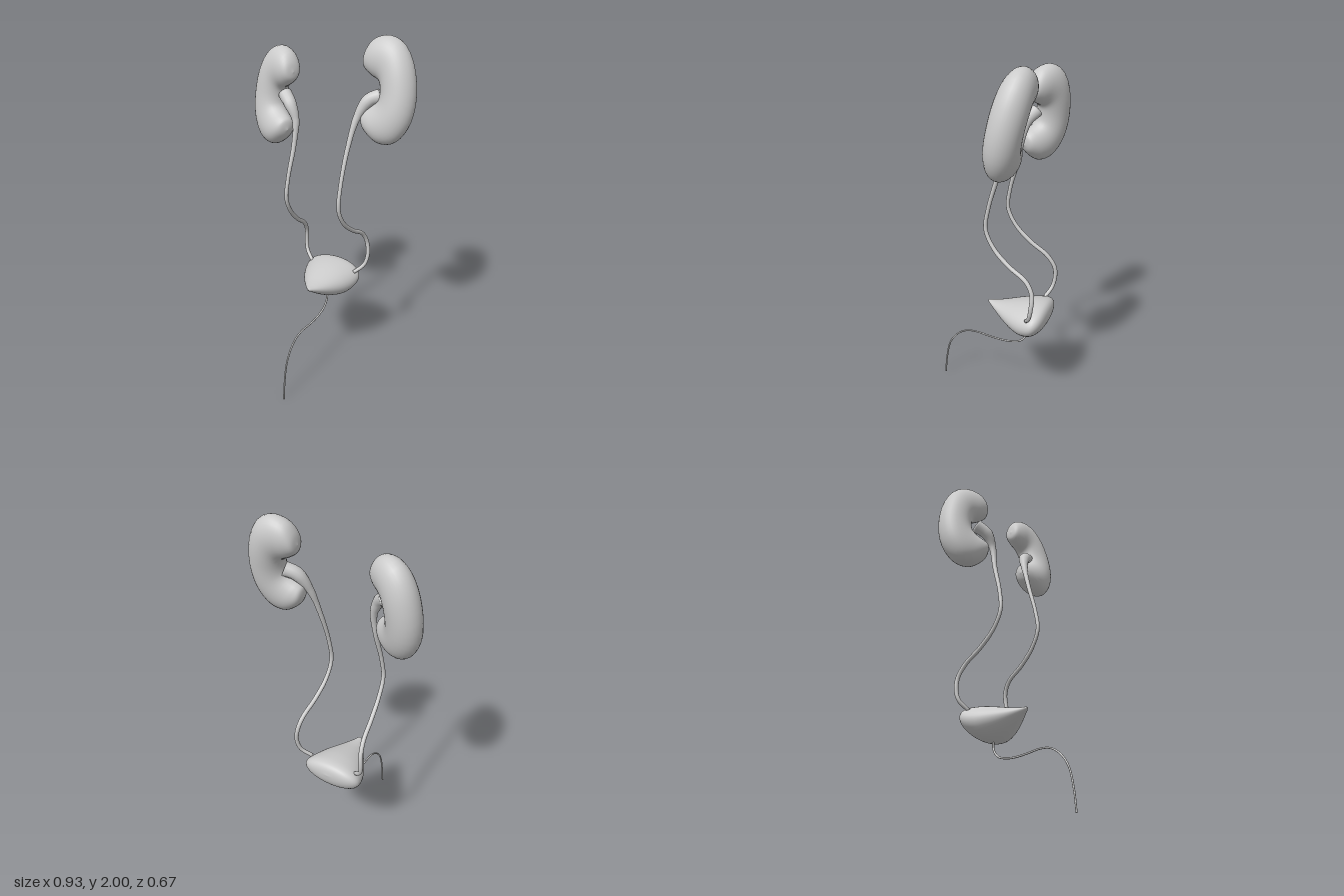
import * as THREE from 'three';
import { mergeVertices } from 'three/addons/utils/BufferGeometryUtils.js';

const V = (x, y, z) => new THREE.Vector3(x, y, z);
const material = new THREE.MeshStandardMaterial({ color: 0xcccccc, roughness: 0.7 });

// Skin a list of elliptical rings, each { c: centre, u: half axis, w: half axis }.
function loft(rings, sides) {
  const pos = [], index = [];
  for (const { c, u, w } of rings) {
    for (let j = 0; j < sides; j++) {
      const a = (j / sides) * Math.PI * 2;
      const p = c.clone().addScaledVector(u, Math.cos(a)).addScaledVector(w, Math.sin(a));
      pos.push(p.x, p.y, p.z);
    }
  }
  for (let i = 0; i < rings.length - 1; i++) {
    for (let j = 0; j < sides; j++) {
      const k = (j + 1) % sides, a = i * sides, b = a + sides;
      index.push(a + j, a + k, b + k, a + j, b + k, b + j);
    }
  }
  // Signed volume tells whether the faces point outwards
  let volume = 0;
  const at = (i) => V(pos[3 * i], pos[3 * i + 1], pos[3 * i + 2]);
  for (let i = 0; i < index.length; i += 3) {
    volume += at(index[i]).dot(at(index[i + 1]).cross(at(index[i + 2])));
  }
  if (volume < 0) index.reverse();
  let g = new THREE.BufferGeometry();
  g.setAttribute('position', new THREE.Float32BufferAttribute(pos, 3));
  g.setIndex(index);
  g = mergeVertices(g, 1e-5);
  g.computeVertexNormals();
  return g;
}

// Smoothly resample tracks of points; samples crowd towards both ends.
function resample(tracks, count, makeRing) {
  const curves = tracks.map((t) => new THREE.CatmullRomCurve3(t, false, 'catmullrom', 0.5));
  return Array.from({ length: count + 1 }, (_, i) => {
    const t = (1 - Math.cos((i / count) * Math.PI)) / 2;
    return makeRing(...curves.map((c) => c.getPoint(t)));
  });
}

// Tube whose radius follows a list of values spread along the path; ends are closed.
function taperedTube(points, radii, segments, sides) {
  const curve = new THREE.CatmullRomCurve3(points);
  const frames = curve.computeFrenetFrames(segments, false);
  const rings = [];
  const ring = (i, scale) => {
    const f = (i / segments) * (radii.length - 1);
    const k = Math.min(Math.floor(f), radii.length - 2);
    const r = scale * THREE.MathUtils.lerp(radii[k], radii[k + 1], f - k);
    rings.push({
      c: curve.getPointAt(i / segments),
      u: frames.normals[i].clone().multiplyScalar(r),
      w: frames.binormals[i].clone().multiplyScalar(r),
    });
  };
  ring(0, 0);
  for (let i = 0; i <= segments; i++) ring(i, 1);
  ring(segments, 0);
  return loft(rings, sides);
}

// Bean: each row is inner x, inner y, outer x, outer y, half thickness, fanned round the hilum.
const kidneyRows = [
  [-0.152, 0.145, -0.152, 0.145, 0],
  [-0.142, 0.1, -0.138, 0.205, 0.045],
  [-0.1, 0.068, -0.1, 0.255, 0.067],
  [-0.065, 0.052, -0.025, 0.275, 0.077],
  [-0.05, 0.037, 0.055, 0.24, 0.083],
  [-0.043, 0.017, 0.117, 0.14, 0.087],
  [-0.04, -0.012, 0.149, 0.0, 0.087],
  [-0.043, -0.042, 0.143, -0.125, 0.087],
  [-0.058, -0.066, 0.105, -0.215, 0.085],
  [-0.085, -0.086, 0.05, -0.265, 0.08],
  [-0.108, -0.1, -0.025, -0.27, 0.07],
  [-0.127, -0.122, -0.1, -0.22, 0.047],
  [-0.13, -0.172, -0.13, -0.172, 0],
];

function kidney(side) {
  const tracks = [
    kidneyRows.map((r) => V(side * r[0], r[1], 0)),
    kidneyRows.map((r) => V(side * r[2], r[3], 0)),
    kidneyRows.map((r) => V(0, 0, r[4])),
  ];
  return loft(resample(tracks, 48, (a, b, w) => ({
    c: a.clone().add(b).multiplyScalar(0.5),
    u: b.clone().sub(a).multiplyScalar(0.5),
    w,
  })), 32);
}

export function createModel() {
  const group = new THREE.Group();
  const add = (name, geometry) => {
    const mesh = new THREE.Mesh(geometry, material);
    mesh.name = name;
    group.add(mesh);
    return mesh;
  };

  // Kidneys: both lean back at the top, the right one is turned and sits lower
  const left = add('leftKidney', kidney(1));
  left.position.set(0.315, 1.725, -0.215);
  left.rotation.x = -0.2;
  const right = add('rightKidney', kidney(-1));
  right.position.set(-0.325, 1.628, -0.17);
  right.rotation.set(-0.15, -0.47, 0);
  right.scale.y = 0.985;

  // Ureters, widening into the renal pelvis at the hilum
  const radii = [0.038, 0.034, 0.021, 0.015, 0.013, 0.012, 0.011, 0.011, 0.011,
    0.011, 0.012, 0.012, 0.012, 0.012, 0.012, 0.011, 0.011];
  const leftPath = [
    V(0.28, 1.7, -0.205), V(0.225, 1.675, -0.18), V(0.178, 1.59, -0.145), V(0.151, 1.42, -0.09),
    V(0.143, 1.22, -0.03), V(0.143, 1.1, -0.015), V(0.15, 1.0, -0.065), V(0.163, 0.92, -0.155),
    V(0.178, 0.855, -0.26), V(0.19, 0.79, -0.298), V(0.2, 0.71, -0.298),
    V(0.185, 0.64, -0.282), V(0.135, 0.59, -0.25),
  ];
  const rightPath = [
    V(-0.255, 1.655, -0.14), V(-0.2, 1.61, -0.105), V(-0.163, 1.53, -0.095), V(-0.163, 1.4, -0.075),
    V(-0.174, 1.22, -0.025), V(-0.18, 1.1, -0.012), V(-0.182, 1.0, -0.06), V(-0.188, 0.91, -0.15),
    V(-0.197, 0.84, -0.245), V(-0.206, 0.77, -0.29), V(-0.21, 0.7, -0.295),
    V(-0.198, 0.64, -0.283), V(-0.15, 0.59, -0.255),
  ];
  add('leftUreter', taperedTube(leftPath, radii, 120, 14));
  add('rightUreter', taperedTube(rightPath, radii, 120, 14));

  // Bladder: z, half width, top y, bottom y, from the front tip to the round back
  const bladderRows = [
    [0.04, 0, 0.579, 0.579], [0.03, 0.012, 0.584, 0.565], [0, 0.034, 0.585, 0.543],
    [-0.05, 0.07, 0.593, 0.507], [-0.1, 0.104, 0.606, 0.474], [-0.15, 0.134, 0.619, 0.449],
    [-0.2, 0.156, 0.63, 0.434], [-0.25, 0.17, 0.636, 0.443], [-0.285, 0.169, 0.636, 0.464],
    [-0.312, 0.142, 0.628, 0.495], [-0.328, 0.09, 0.607, 0.53], [-0.335, 0, 0.572, 0.572],
  ];
  const cx = -0.014;
  add('bladder', loft(resample([
    bladderRows.map(([z, , top, bottom]) => V(cx, (top + bottom) / 2, z)),
    bladderRows.map(([, w]) => V(w, 0, 0)),
    bladderRows.map(([, , top, bottom]) => V(0, (top - bottom) / 2, 0)),
  ], 40, (c, u, w) => ({ c, u, w })), 40));

  // Urethra, curving forward and down
  const urethra = [
    [0.45, -0.2], [0.39, -0.193], [0.35, -0.16], [0.332, -0.1], [0.328, -0.04], [0.334, 0.04],
    [0.343, 0.12], [0.334, 0.185], [0.295, 0.245], [0.225, 0.293], [0.11, 0.32], [0, 0.331],
  ].map(([y, z]) => V(cx, y, z));
  add('urethra', taperedTube(urethra, [0.006, 0.005, 0.005], 80, 10));

  return group;
}
